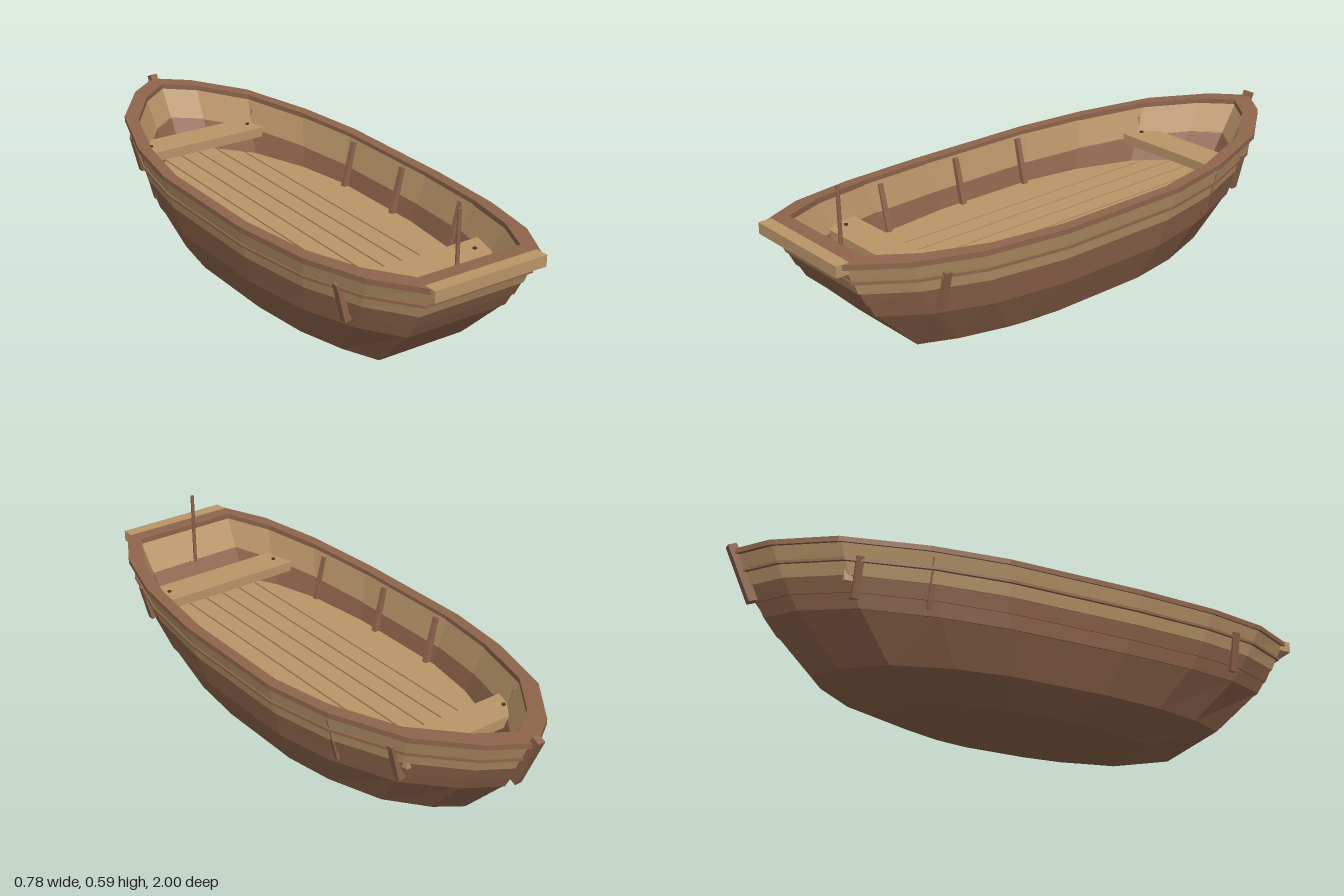
import * as THREE from 'three';

// Half outline of the rim from stern corner to bow tip: x, z, sheer (how far it rises)
const OUTLINE = [
  [0.205, 0.98, 1], [0.30, 0.81, 0.65], [0.36, 0.58, 0.25], [0.39, 0.28, 0], [0.39, -0.2, 0],
  [0.35, -0.45, 0.2], [0.26, -0.72, 0.6], [0.12, -0.9, 0.95], [0, -0.985, 1.1],
];
const LOOP = [...OUTLINE, ...OUTLINE.slice(0, -1).reverse().map(([x, z, s]) => [-x, z, s])];

// One horizontal ring of the hull: height, scales and sheer rise; the transom narrows less than the sides
const ring = (y, sx, sz, lift = 0.035) =>
  LOOP.map(([x, z, s], i) => {
    const corner = i === 0 || i === LOOP.length - 1;
    return new THREE.Vector3(x * (corner ? Math.pow(sx, 0.7) : sx), y + s * lift, z * sz);
  });

// Ring on the inner wall at a given height
const innerRing = (y) => ring(y, 0.81 + (y - 0.235) * 0.54, 0.82 + (y - 0.235) * 0.65);

// Flat faces between successive rings; closed joins the last ring to the first
function loft(rings, closed) {
  const pos = [];
  const n = LOOP.length;
  const count = closed ? rings.length : rings.length - 1;
  for (let r = 0; r < count; r++) {
    const a = rings[r], b = rings[(r + 1) % rings.length];
    for (let i = 0; i < n; i++) {
      const j = (i + 1) % n;
      for (const p of [a[i], a[j], b[j], a[i], b[j], b[i]]) pos.push(p.x, p.y, p.z);
    }
  }
  const g = new THREE.BufferGeometry();
  g.setAttribute('position', new THREE.Float32BufferAttribute(pos, 3));
  g.computeVertexNormals();
  return g;
}

// Flat board cut from [x, z] corners, top face at the given height
function slab(corners, top, thickness) {
  const shape = new THREE.Shape(corners.map(([x, z]) => new THREE.Vector2(x, -z)));
  const g = new THREE.ExtrudeGeometry(shape, { depth: thickness, bevelEnabled: false });
  return g.rotateX(-Math.PI / 2).translate(0, top - thickness, 0);
}

// Linear interpolation in a list of [key, value]
function interpolate(list, k) {
  for (let i = 0; i < list.length - 1; i++) {
    const [a, va] = list[i], [b, vb] = list[i + 1];
    if ((k - a) * (k - b) <= 0 && a !== b) return va + (vb - va) * (k - a) / (b - a);
  }
  return list[list.length - 1][1];
}

export function createModel() {
  const brown = new THREE.MeshStandardMaterial({ color: 0x8f654c });
  const tan = new THREE.MeshStandardMaterial({ color: 0xba9669 });
  const dark = new THREE.MeshStandardMaterial({ color: 0x4c3629 });
  brown.name = 'brown wood';
  tan.name = 'tan wood';
  dark.name = 'dark nails';

  const boat = new THREE.Group();
  boat.name = 'rowingBoat';
  const add = (name, geometry, material, x = 0, y = 0, z = 0) => {
    const m = new THREE.Mesh(geometry, material);
    m.name = name;
    m.position.set(x, y, z);
    boat.add(m);
    return m;
  };

  // Lower hull with a closed bottom and an inner skin
  add('lowerHull', loft([
    ring(0, 0, 0, 0), ring(0, 0.45, 0.455, 0), ring(0.07, 0.705, 0.71, 0.004),
    ring(0.205, 0.86, 0.872, 0.03), innerRing(0.205),
    ring(0.085, 0.66, 0.66, 0.004), ring(0.085, 0, 0, 0),
  ], false), brown);

  // Lapped side planks: bottom height, top height, bottom scales, top scales
  const strakes = [
    [0.200, 0.250, 0.865, 0.877, 0.888, 0.905, brown],
    [0.248, 0.300, 0.895, 0.910, 0.922, 0.936, brown],
    [0.298, 0.346, 0.930, 0.940, 0.955, 0.960, tan],
    [0.344, 0.402, 0.955, 0.962, 0.990, 0.988, tan],
  ];
  strakes.forEach(([y0, y1, x0, z0, x1, z1, mat], i) => {
    add('sidePlank' + (i + 1), loft([
      ring(y0, x0, z0), ring(y1, x1, z1), innerRing(y1), innerRing(y0),
    ], true), mat);
  });

  // Thin rubbing rail
  add('rubbingRail', loft([
    ring(0.340, 0.975, 0.970), ring(0.349, 0.975, 0.970),
    ring(0.349, 0.94, 0.94), ring(0.340, 0.94, 0.94),
  ], true), brown);

  // Rim along the top edge
  add('rim', loft([
    ring(0.397, 1, 1), ring(0.415, 1, 1), ring(0.415, 0.9, 0.92), ring(0.397, 0.9, 0.92),
  ], true), brown);
  add('sternBoard', new THREE.BoxGeometry(0.412, 0.038, 0.045), tan, 0, 0.433, 0.977);

  // Bow post, raked forward
  const post = add('bowPost', new THREE.BoxGeometry(0.026, 0.2, 0.03), brown, 0, 0.376, -0.946);
  post.rotation.x = -0.42;

  // Floor planks cut to follow the hull, the outermost ones wider
  const fit = ([x, z]) => [x * 0.815, z * 0.815];
  const front = OUTLINE.slice(0, 4).map(fit);
  const back = OUTLINE.slice(4).map(fit);
  const sternEnd = (x) => (Math.abs(x) <= front[0][0] ? front[0][1] : interpolate(front, Math.abs(x)));
  const bowEnd = (x) => interpolate(back, Math.abs(x));
  for (let i = -2; i <= 2; i++) {
    const l = i * 0.072 - 0.0325, r = i * 0.072 + 0.0325;
    add('floorPlank', slab([
      [l, sternEnd(l)], [r, sternEnd(r)], [r, bowEnd(r)], [l, bowEnd(l)],
    ], 0.235, 0.02), tan);
  }
  for (const side of [1, -1]) {
    const x0 = 0.183;
    const edge = [...front.slice(1), ...back].filter(([x]) => x > x0);
    const corners = [[x0, sternEnd(x0)], ...edge, [x0, bowEnd(x0)]];
    add('outerFloorPlank', slab(corners.map(([x, z]) => [x * side, z]), 0.235, 0.02), tan);
  }

  // Benches with nails
  add('sternBench', slab([[-0.26, 0.73], [0.275, 0.73], [0.295, 0.61], [-0.28, 0.61]], 0.335, 0.035), tan);
  add('bowBench', slab([[-0.25, -0.57], [0.25, -0.57], [0.235, -0.69], [-0.24, -0.69]], 0.335, 0.035), tan);
  for (const [x, z] of [[-0.235, 0.67], [0.22, 0.67], [-0.205, -0.63], [0.205, -0.63]]) {
    add('nail', new THREE.CylinderGeometry(0.007, 0.007, 0.006, 6), dark, x, 0.337, z);
  }

  // Ribs on the inner walls and slanted bench supports through the sides
  const widths = OUTLINE.map(([x, z]) => [z, x]);
  for (const side of [1, -1]) {
    for (const [z, k] of [[-0.43, 0.87], [-0.14, 0.85], [0.14, 0.85], [0.47, 0.85]]) {
      const rib = add('rib', new THREE.BoxGeometry(0.032, 0.165, 0.018), brown,
        side * interpolate(widths, z) * k, 0.312, z);
      rib.rotation.z = -side * 0.25;
    }
    for (const [x, z] of [[0.288, 0.69], [0.236, -0.65]]) {
      const leg = add('benchSupport', new THREE.BoxGeometry(0.044, 0.135, 0.024), brown, side * x, 0.315, z);
      leg.rotation.z = -side * 0.25;
    }
  }

  // Upright pole at the stern
  add('sternPole', new THREE.CylinderGeometry(0.0065, 0.0065, 0.355, 8), brown, 0, 0.4155, 0.845);

  return boat;
}
